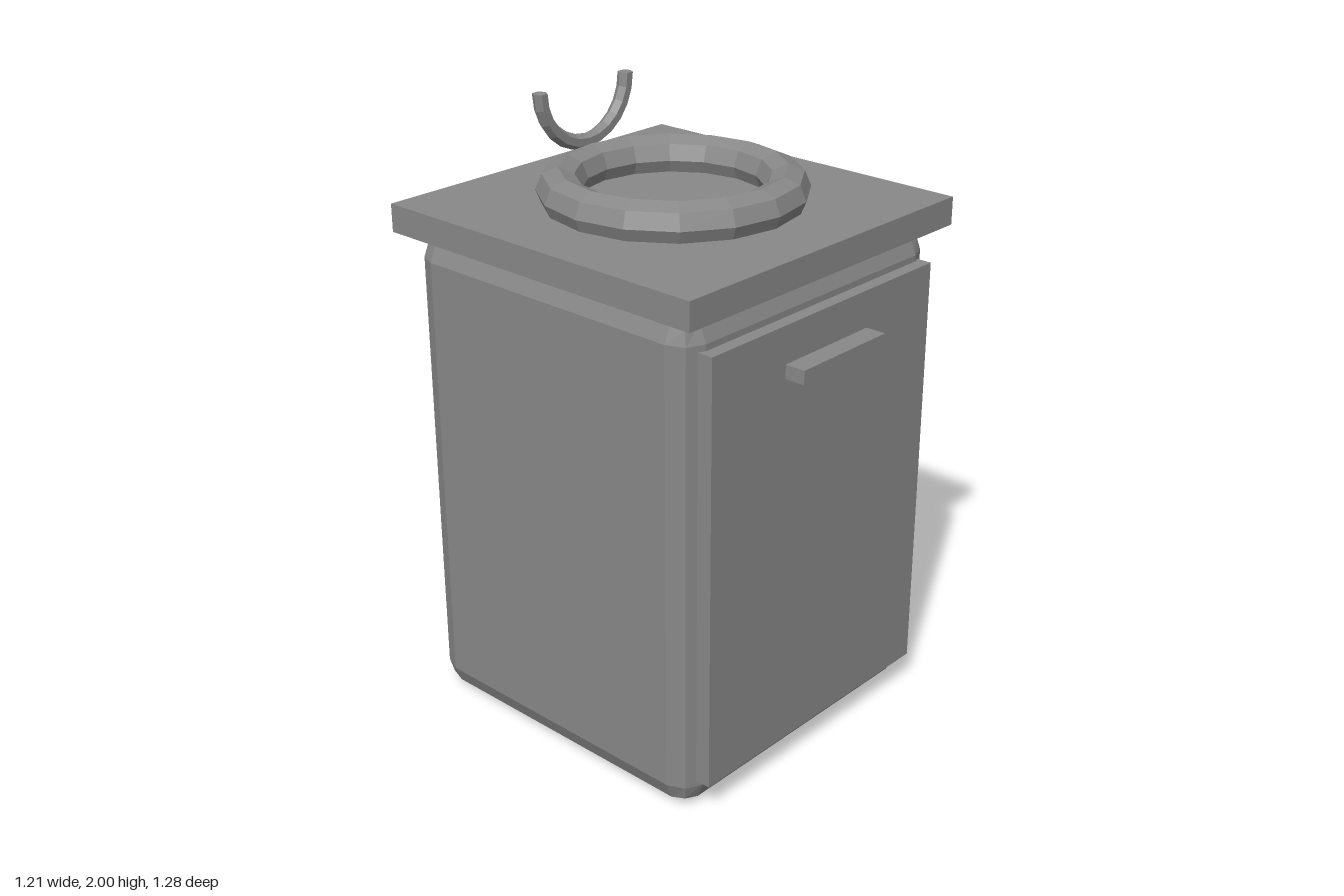
import * as THREE from 'three';
import { RoundedBoxGeometry } from 'three/addons/geometries/RoundedBoxGeometry.js';

export function createModel() {
  const model = new THREE.Group();
  model.name = 'sinkCabinet';

  const grey = new THREE.MeshStandardMaterial({ color: 0x888888, flatShading: true });
  grey.name = 'grey';

  const centerZ = -0.03;

  function add(name, geometry, x, y, z, parent = model) {
    const mesh = new THREE.Mesh(geometry, grey);
    mesh.name = name;
    mesh.position.set(x, y, z);
    parent.add(mesh);
    return mesh;
  }

  // Cabinet with two-facet rounded edges
  add('cabinet', new RoundedBoxGeometry(1.13, 1.61, 1.13, 1, 0.08), 0, 0.805, centerZ);

  // Door and its pull
  add('door', new THREE.BoxGeometry(1.016, 1.41, 0.06), 0, 0.805, 0.547);
  add('doorHandle', new THREE.BoxGeometry(0.38, 0.045, 0.07), 0, 1.367, 0.61);

  // Overhanging worktop
  add('worktop', new THREE.BoxGeometry(1.205, 0.09, 1.22), 0, 1.655, centerZ);

  // Basin rim, sunk slightly into the worktop
  const rim = new THREE.TorusGeometry(0.35, 0.07, 8, 16).rotateX(-Math.PI / 2);
  add('basinRim', rim, 0, 1.74, centerZ);

  // Faucet: a half ring opening upward, with closed ends
  const faucet = new THREE.Group();
  faucet.name = 'faucet';
  faucet.position.set(0, 2, -0.41);
  model.add(faucet);
  const radius = 0.187, tube = 0.025;
  add('faucetArc', new THREE.TorusGeometry(radius, tube, 6, 12, Math.PI).rotateX(Math.PI), 0, 0, 0, faucet);
  for (const side of [-1, 1]) {
    const cap = new THREE.CircleGeometry(tube, 6).rotateX(-Math.PI / 2);
    add(side > 0 ? 'faucetEndLeft' : 'faucetEndRight', cap, side * radius, 0, 0, faucet);
  }

  return model;
}
